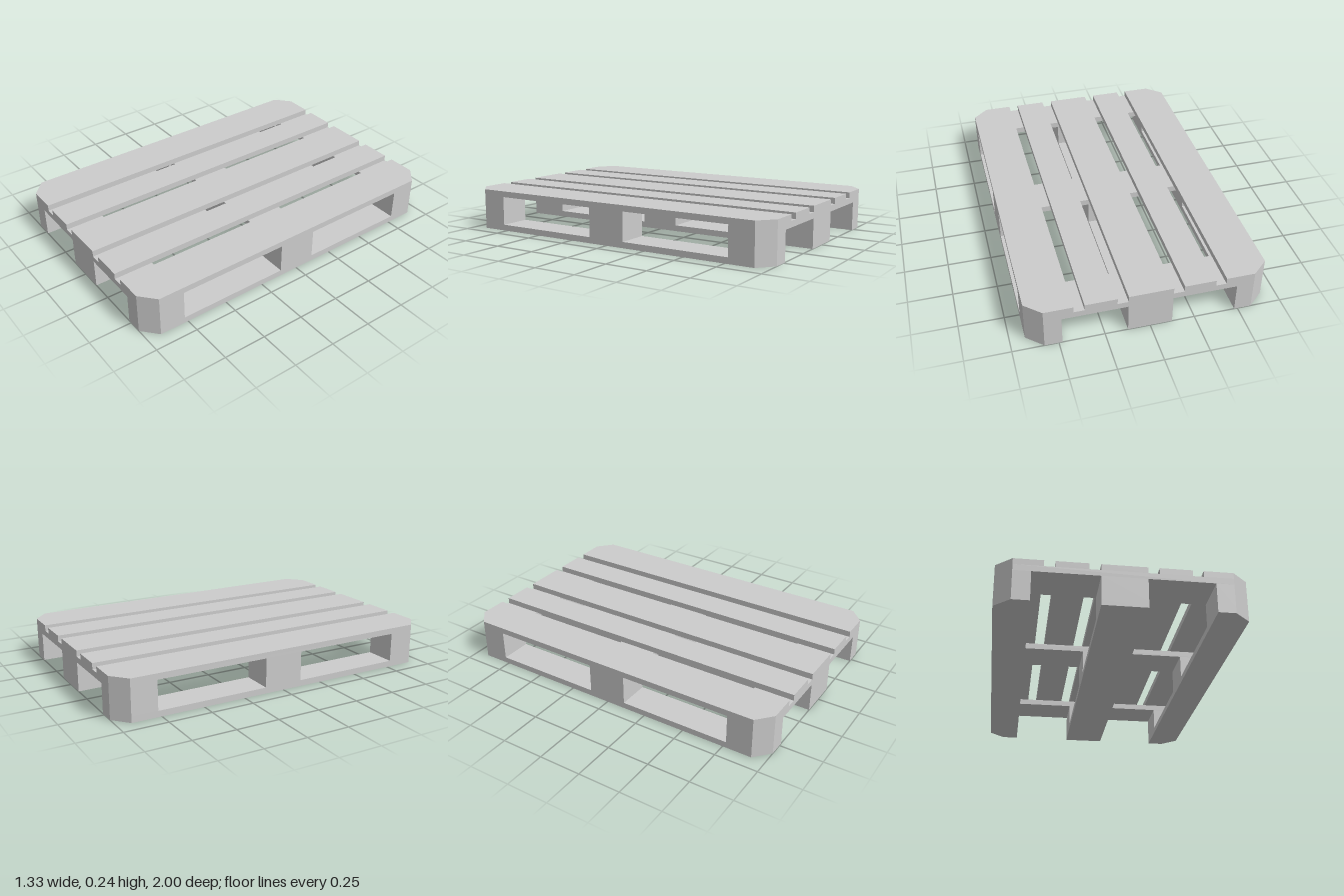
import * as THREE from 'three';

const W = 0.667, L = 1; // half width and half length of the pallet
const CUT_X = 0.09, CUT_Z = 0.08; // corner chamfer
const Y = [0, 0.035, 0.17, 0.205, 0.24]; // heights of the four layers

// Flat timber piece; any corner lying on the pallet's outer corner is chamfered
function timber(name, cx, cz, width, length, layer, material) {
  const hx = width / 2, hz = length / 2;
  const points = [];
  for (const [sx, sz] of [[1, 1], [-1, 1], [-1, -1], [1, -1]]) {
    const x = cx + sx * hx, z = cz + sz * hz;
    const outer = sx * x > W - 0.001 && sz * z > L - 0.001;
    if (!outer) {
      points.push(new THREE.Vector2(x, z));
      continue;
    }
    const ends = [new THREE.Vector2(x, z - sz * CUT_Z), new THREE.Vector2(x - sx * CUT_X, z)];
    points.push(...(sx * sz > 0 ? ends : ends.reverse()));
  }
  const geometry = new THREE.ExtrudeGeometry(new THREE.Shape(points), {
    depth: Y[layer + 1] - Y[layer], bevelEnabled: false,
  });
  geometry.rotateX(-Math.PI / 2);
  const mesh = new THREE.Mesh(geometry, material);
  mesh.position.y = Y[layer];
  mesh.name = name;
  return mesh;
}

export function createModel() {
  const pallet = new THREE.Group();
  pallet.name = 'pallet';
  const wood = new THREE.MeshStandardMaterial({ color: 0xcccccc });
  wood.name = 'light grey';

  // Three runners: x centre and width
  const runners = [[-0.574, 0.186], [0, 0.246], [0.574, 0.186]];
  // Three rows across the pallet: z centre and length
  const rows = [[-0.885, 0.23], [0, 0.23], [0.885, 0.23]];
  // Five deck boards: x centre and width
  const deck = [[-0.542, 0.25], [-0.271, 0.176], [0, 0.246], [0.271, 0.176], [0.542, 0.25]];

  for (const [x, w] of runners) {
    pallet.add(timber('bottomBoard', x, 0, w, 2 * L, 0, wood));
    for (const [z, l] of rows) pallet.add(timber('block', x, z, w, l, 1, wood));
  }
  for (const [z, l] of rows) pallet.add(timber('crossBoard', 0, z, 2 * W, l, 2, wood));
  for (const [x, w] of deck) pallet.add(timber('deckBoard', x, 0, w, 2 * L, 3, wood));

  return pallet;
}
